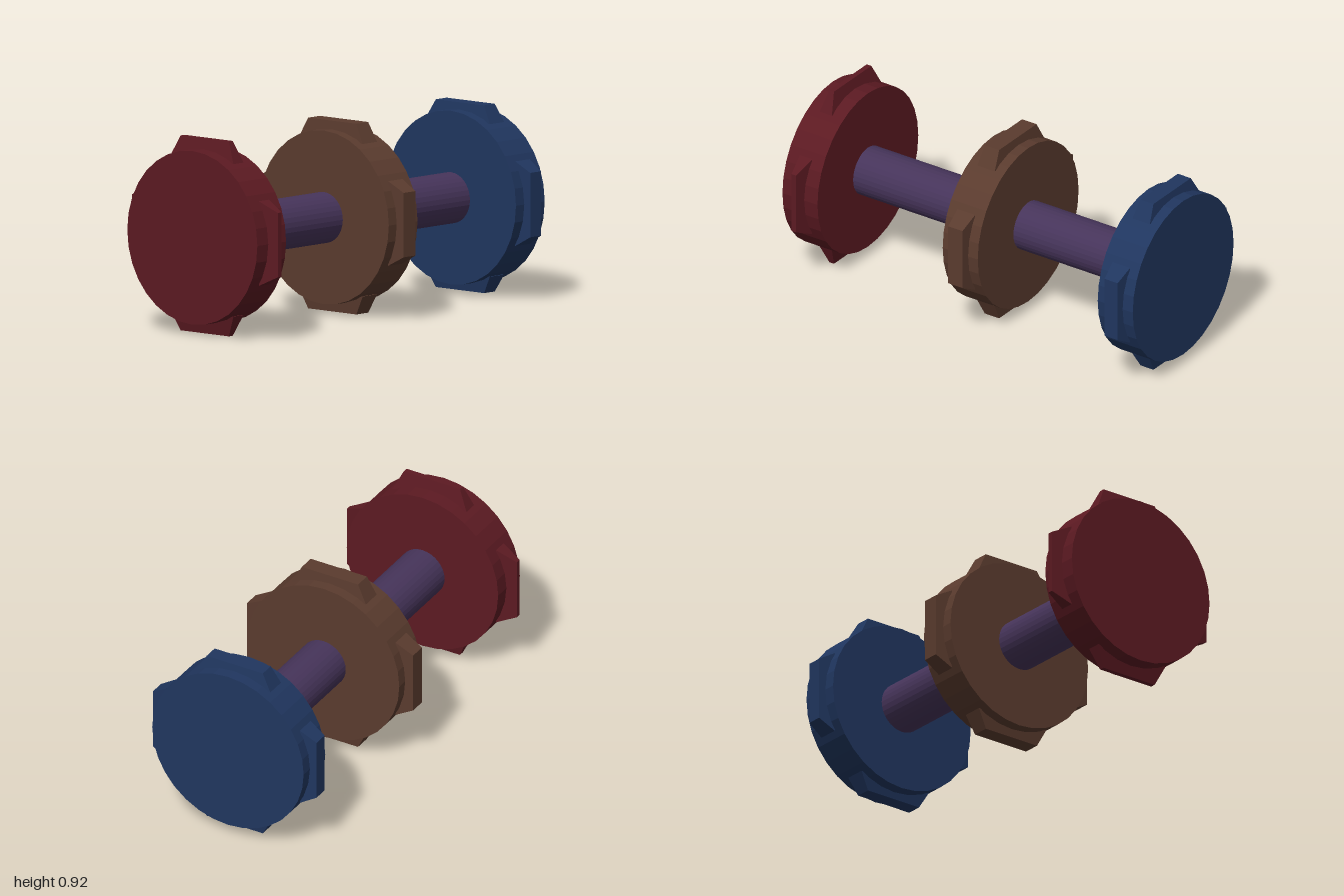
import * as THREE from 'three';

const AXIS_Y = 0.46, DISC_R = 0.41, DISC_W = 0.2, TOOTH_BASE = 0.36;

function material(color) {
  return new THREE.MeshStandardMaterial({ color, flatShading: true });
}

// Cylinder lying along x
function rod(name, radius, length, x, mat) {
  const geo = new THREE.CylinderGeometry(radius, radius, length, 32).rotateZ(Math.PI / 2);
  const mesh = new THREE.Mesh(geo, mat);
  mesh.name = name;
  mesh.position.x = x;
  return mesh;
}

// Block standing on the rim, tapering outwards in width (x) and length (z)
function toothGeometry(tipR, baseX, tipX) {
  const geo = new THREE.BoxGeometry(1, 1, 1);
  const p = geo.attributes.position;
  for (let i = 0; i < p.count; i++) {
    const tip = p.getY(i) > 0;
    p.setXYZ(i,
      Math.sign(p.getX(i)) * (tip ? tipX : baseX),
      tip ? tipR : TOOTH_BASE,
      Math.sign(p.getZ(i)) * (tip ? 0.152 : 0.2));
  }
  geo.computeVertexNormals();
  return geo;
}

// Disc with four teeth around its rim
function toothedDisc({ name, x, color, tipR, baseX, tipX }) {
  const group = new THREE.Group();
  group.name = name;
  group.position.x = x;
  const mat = material(color);
  group.add(rod('disc', DISC_R, DISC_W, 0, mat));
  const geo = toothGeometry(tipR, baseX, tipX);
  for (let i = 0; i < 4; i++) {
    const tooth = new THREE.Mesh(geo, mat);
    tooth.name = 'tooth';
    tooth.rotation.x = i * Math.PI / 2;
    group.add(tooth);
  }
  return group;
}

export function createModel() {
  const model = new THREE.Group();
  model.name = 'toothedDiscShaft';
  const assembly = new THREE.Group();
  assembly.name = 'assembly';
  assembly.position.y = AXIS_Y;
  model.add(assembly);

  // Shaft through all three discs
  assembly.add(rod('shaft', 0.12, 1.8, 0, material(0x46345a)));

  // Discs, each with its own tooth profile
  [
    { name: 'rightDisc', x: -0.9, color: 0x5c1a22, tipR: 0.46, baseX: 0.035, tipX: 0.013 },
    { name: 'middleDisc', x: 0.015, color: 0x5a3b2e, tipR: 0.45, baseX: 0.05, tipX: 0.041 },
    { name: 'leftDisc', x: 0.9, color: 0x20365f, tipR: 0.443, baseX: 0.05, tipX: 0.037 },
  ].forEach((spec) => assembly.add(toothedDisc(spec)));

  return model;
}
